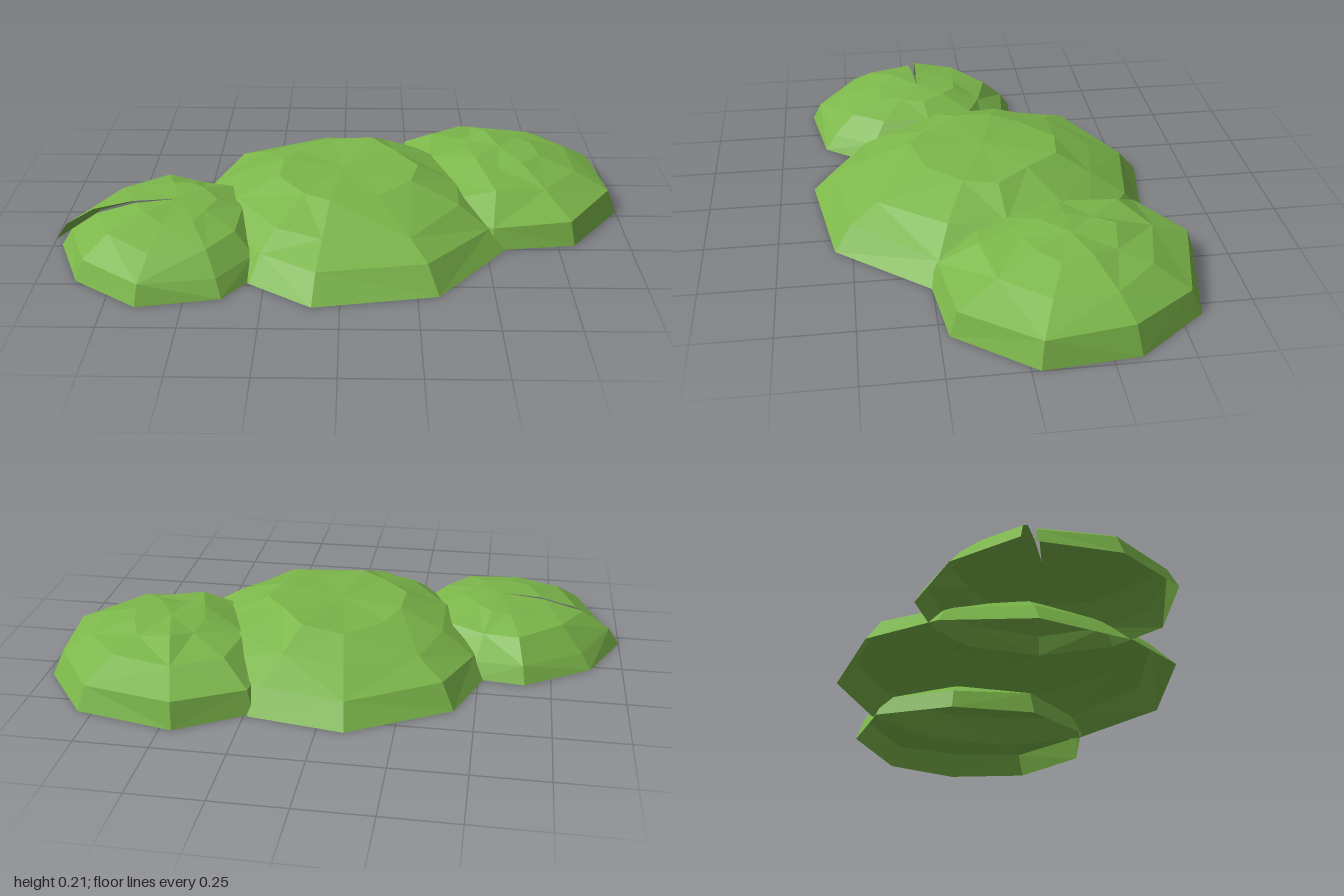
import * as THREE from 'three';

const leafMaterial = new THREE.MeshStandardMaterial({
  color: 0x7cb74a, flatShading: true, side: THREE.DoubleSide,
});

// Small seeded generator for the faceted irregularity
function seeded(seed) {
  return () => {
    seed = (seed * 16807) % 2147483647;
    return seed / 2147483647 - 0.5;
  };
}

// Hollow faceted dome: an [x, z] outline shrunk towards its centre, ring by ring.
// rings: [scale, height]; centre: [x, y, z]; an open outline leaves a crack.
function makeDome(name, centre, outline, rings, seed, closed = true) {
  const rand = seeded(seed);
  const [cx, cy, cz] = centre;
  const n = outline.length;
  const positions = [];
  const index = [];

  rings.forEach(([scale, height], r) => {
    outline.forEach(([x, z], i) => {
      const atCrack = !closed && (i === 0 || i === n - 1);
      const amount = r < 1 || atCrack ? 0 : 1;
      const s = scale + rand() * 0.08 * amount * (r === 1 ? 0.5 : 1);
      const y = height + rand() * 0.022 * amount;
      positions.push(cx + (x - cx) * s, y, cz + (z - cz) * s);
    });
  });
  const top = positions.length / 3;
  positions.push(cx, cy, cz);

  // Bands with alternating diagonals, then a fan to the crown
  const segments = closed ? n : n - 1;
  for (let i = 0; i < segments; i++) {
    const j = (i + 1) % n;
    for (let r = 0; r < rings.length - 1; r++) {
      const a = r * n + i, b = r * n + j;
      const c = a + n, d = b + n;
      if ((i + r) % 2) index.push(a, b, d, a, d, c);
      else index.push(a, b, c, b, d, c);
    }
    const last = (rings.length - 1) * n;
    index.push(last + i, last + j, top);
  }

  const geometry = new THREE.BufferGeometry();
  geometry.setAttribute('position', new THREE.Float32BufferAttribute(positions, 3));
  geometry.setIndex(index);
  const flat = geometry.toNonIndexed();
  flat.computeVertexNormals();
  const mesh = new THREE.Mesh(flat, leafMaterial);
  mesh.name = name;
  return mesh;
}

export function createModel() {
  const group = new THREE.Group();
  group.name = 'lowBush';

  // Outlines run from the front towards +x, the back and -x
  group.add(makeDome('mainMound', [0, 0.203, 0.02], [
    [-0.09, 0.63], [0.32, 0.56], [0.57, 0.25], [0.62, -0.03], [0.5, -0.33],
    [0.23, -0.52], [-0.09, -0.57], [-0.43, -0.38], [-0.53, -0.12],
    [-0.5, 0.2], [-0.3, 0.49],
  ], [[1, 0], [0.89, 0.075], [0.7, 0.14], [0.42, 0.198]], 17));

  group.add(makeDome('rightMound', [0.58, 0.192, -0.19], [
    [0.52, 0.26], [0.81, 0.22], [1.0, -0.03], [0.975, -0.34], [0.8, -0.57],
    [0.46, -0.64], [0.22, -0.5], [0.18, -0.2], [0.28, 0.1],
  ], [[1, 0], [0.92, 0.08], [0.64, 0.142], [0.32, 0.178]], 91));

  // Side mound with a narrow crack running in from its outer edge
  group.add(makeDome('leftMound', [-0.56, 0.17, 0.215], [
    [-0.97, 0.24], [-0.87, 0.48], [-0.65, 0.635], [-0.38, 0.585],
    [-0.26, 0.42], [-0.22, 0.17], [-0.33, -0.06], [-0.48, -0.15],
    [-0.66, -0.17], [-0.89, -0.02], [-1.0, 0.2],
  ], [[1, 0], [0.91, 0.06], [0.68, 0.122], [0.36, 0.157]], 53, false));

  return group;
}
